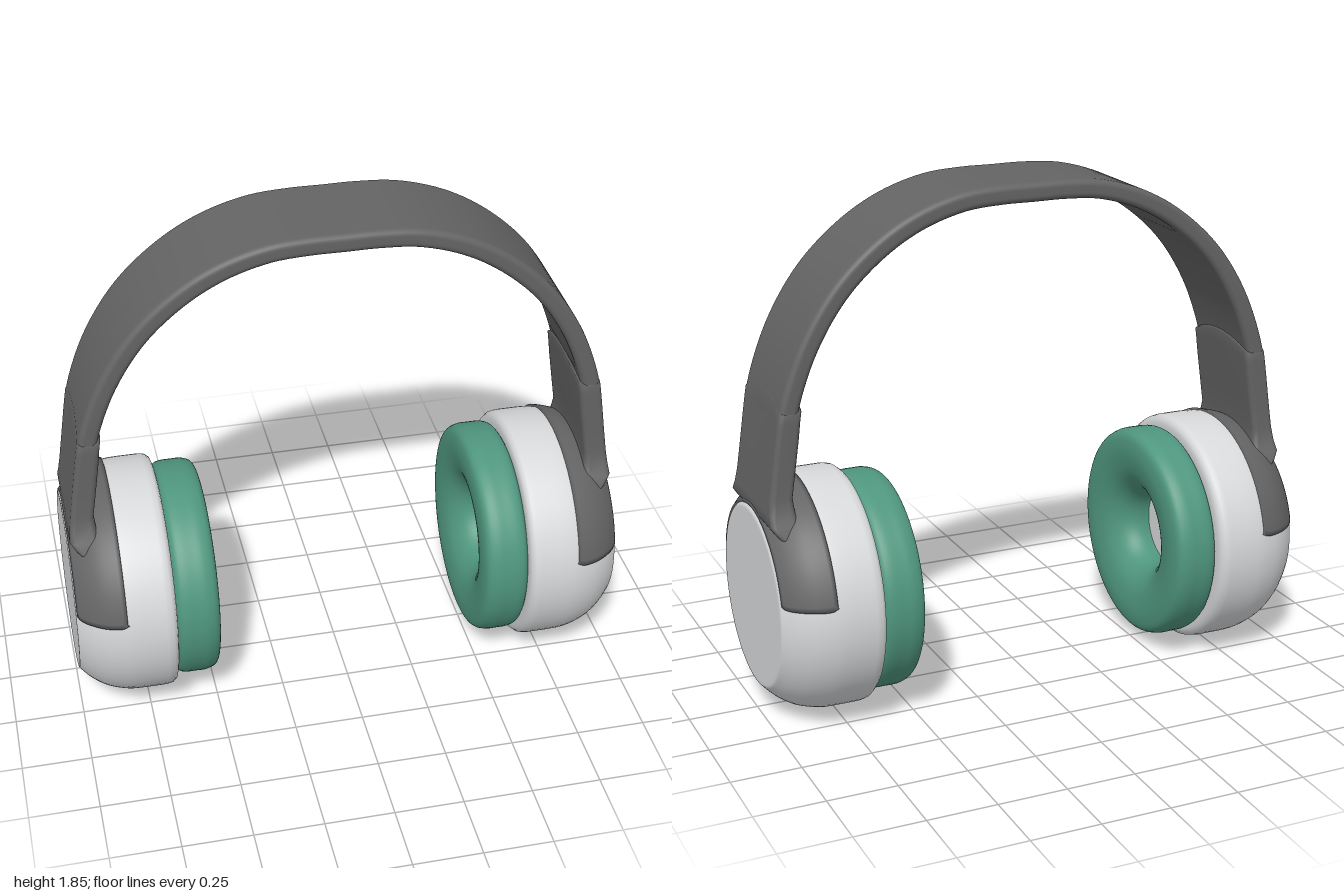
import * as THREE from 'three';

const shellGrey = new THREE.MeshStandardMaterial({ color: 0xd6d8da });
shellGrey.name = 'lightGrey';
const bandGrey = new THREE.MeshStandardMaterial({ color: 0x646464 });
bandGrey.name = 'darkGrey';
const padGreen = new THREE.MeshStandardMaterial({ color: 0x4f967e });
padGreen.name = 'green';

const CUP_Y = 0.435;
const V2 = (p) => new THREE.Vector2(p[0], p[1]);

function named(name, geometry, material) {
  const mesh = new THREE.Mesh(geometry, material);
  mesh.name = name;
  return mesh;
}

// smooth surface through a grid of points; fn(i, j) returns [x, y, z]
function gridSurface(rows, cols, fn) {
  const pos = [], index = [];
  for (let i = 0; i < rows; i++) {
    for (let j = 0; j < cols; j++) {
      pos.push(...fn(i, j));
      if (i < rows - 1 && j < cols - 1) {
        const a = i * cols + j, b = a + cols;
        index.push(a, b, a + 1, b, b + 1, a + 1);
      }
    }
  }
  const g = new THREE.BufferGeometry();
  g.setAttribute('position', new THREE.Float32BufferAttribute(pos, 3));
  g.setIndex(index);
  g.computeVertexNormals();
  return g;
}

// closed rounded-rectangle section: thickness +-h, width +-w, corner c
function section(h, w, c) {
  const pts = [];
  const side = (n, from, to) => {
    for (let s = 1; s < 12; s++) pts.push([n, from + ((to - from) * s) / 12]);
  };
  const corner = (sn, sz, start) => {
    for (let k = 0; k <= 5; k++) {
      const a = start + (k / 5) * Math.PI / 2;
      pts.push([sn * (h - c) + c * Math.cos(a), sz * (w - c) + c * Math.sin(a)]);
    }
  };
  side(h, -w + c, w - c);
  corner(1, 1, 0);
  corner(-1, 1, Math.PI / 2);
  side(-h, w - c, -w + c);
  corner(-1, -1, Math.PI);
  corner(1, -1, Math.PI * 1.5);
  pts.push(pts[0]);
  return pts;
}

// profile given as [radius, x], turned around the cup axis
function turned(points) {
  const g = new THREE.LatheGeometry(points.map(V2), 72);
  g.rotateZ(-Math.PI / 2);
  g.translate(0, CUP_Y, 0);
  return g;
}

function headband() {
  const half = [[0.907, 1.1], [0.897, 1.165], [0.825, 1.36], [0.71, 1.54], [0.565, 1.675],
    [0.42, 1.76], [0.26, 1.81], [0.12, 1.822]];
  const all = [...half, [0, 1.822], ...half.slice().reverse().map(([x, y]) => [-x, y])];
  const path = new THREE.CatmullRomCurve3(all.map(([x, y]) => new THREE.Vector3(x, y, 0)));
  const ring = section(0.034, 0.198, 0.022);
  const N = 90;
  return gridSurface(N + 1, ring.length, (i, j) => {
    const p = path.getPointAt(i / N), t = path.getTangentAt(i / N);
    const [n, z] = ring[j];
    return [p.x + t.y * n, p.y - t.x * n, z];
  });
}

// arm rows: [y, inner x, outer x, half width]; top edge bows up in the middle
function arm() {
  const rows = [[0.7, 0.86, 0.94, 0.262], [0.735, 0.875, 0.972, 0.25], [0.765, 0.888, 0.992, 0.235],
    [0.8, 0.895, 0.988, 0.214], [0.85, 0.899, 0.981, 0.203], [0.95, 0.884, 0.967, 0.201],
    [1.05, 0.87, 0.953, 0.201], [1.11, 0.863, 0.944, 0.201], [1.145, 0.858, 0.938, 0.201],
    [1.152, 0.864, 0.931, 0.194], [1.152, 0.875, 0.92, 0.18]];
  const rings = rows.map(([, a, b, w]) => section((b - a) / 2, w, 0.02));
  return gridSurface(rows.length, rings[0].length, (i, j) => {
    const [y, a, b, w] = rows[i];
    const [n, z] = rings[i][j];
    const lift = 0.047 * THREE.MathUtils.clamp((y - 0.85) / 0.29, 0, 1) * (1 - (z / w) ** 2);
    return [(a + b) / 2 + n - 0.25 * lift, y + lift, z];
  });
}

const bevel = new THREE.SplineCurve(
  [[0.43, 0.77], [0.426, 0.83], [0.405, 0.9], [0.37, 0.955], [0.33, 0.995]].map(V2));

// yoke: thin dark shell that hugs the upper bevel of the cup
function yoke() {
  const line = [];
  for (let k = 0; k <= 14; k++) {
    const p = bevel.getPoint(0.23 + 0.75 * (k / 14));
    line.push([p.x + 0.007, p.y + 0.003]);
  }
  line.unshift([0.405, line[0][1] - 0.001]);
  line.push([0.322, 0.985]);
  const cols = 64;
  return gridSurface(line.length, cols + 1, (i, j) => {
    const v = Math.abs((2 * i) / (line.length - 1) - 1);
    let [r, x] = line[i];
    const start = Math.asin((0.075 + 0.03 * v ** 7) / r);
    const k = THREE.MathUtils.clamp((j - 1) / (cols - 2), 0, 1);
    const a = start + (Math.PI - 2 * start) * k;
    if (j === 0 || j === cols) { r -= 0.025; x -= 0.02; }
    return [x, CUP_Y + r * Math.sin(a), r * Math.cos(a)];
  });
}

function earpiece(name) {
  const g = new THREE.Group();
  g.name = name;
  // cup with rounded rim, curved bevel and flat outer face
  g.add(named('cup', turned([[0, 0.65], [0.385, 0.65], [0.4, 0.65], [0.415, 0.655], [0.426, 0.668],
    [0.43, 0.69], ...bevel.getPoints(16).map((p) => [p.x, p.y]),
    [0.325, 0.999], [0.318, 1], [0.305, 1], [0, 1]]), shellGrey));
  // soft ring cushion with a hollow centre
  const soft = new THREE.SplineCurve([[0.145, 0.655], [0.142, 0.6], [0.165, 0.55], [0.22, 0.508],
    [0.29, 0.49], [0.345, 0.49], [0.38, 0.502], [0.395, 0.535], [0.396, 0.575], [0.395, 0.615],
    [0.385, 0.64], [0.36, 0.655]].map(V2));
  g.add(named('cushion', turned(soft.getPoints(48).map((p) => [p.x, p.y])), padGreen));
  g.add(named('yoke', yoke(), bandGrey));
  g.add(named('arm', arm(), bandGrey));
  return g;
}

export function createModel() {
  const model = new THREE.Group();
  model.name = 'headphones';
  model.add(named('headband', headband(), bandGrey));
  const left = earpiece('leftEarpiece');
  const right = earpiece('rightEarpiece');
  right.rotation.y = Math.PI;
  model.add(left, right);
  return model;
}
